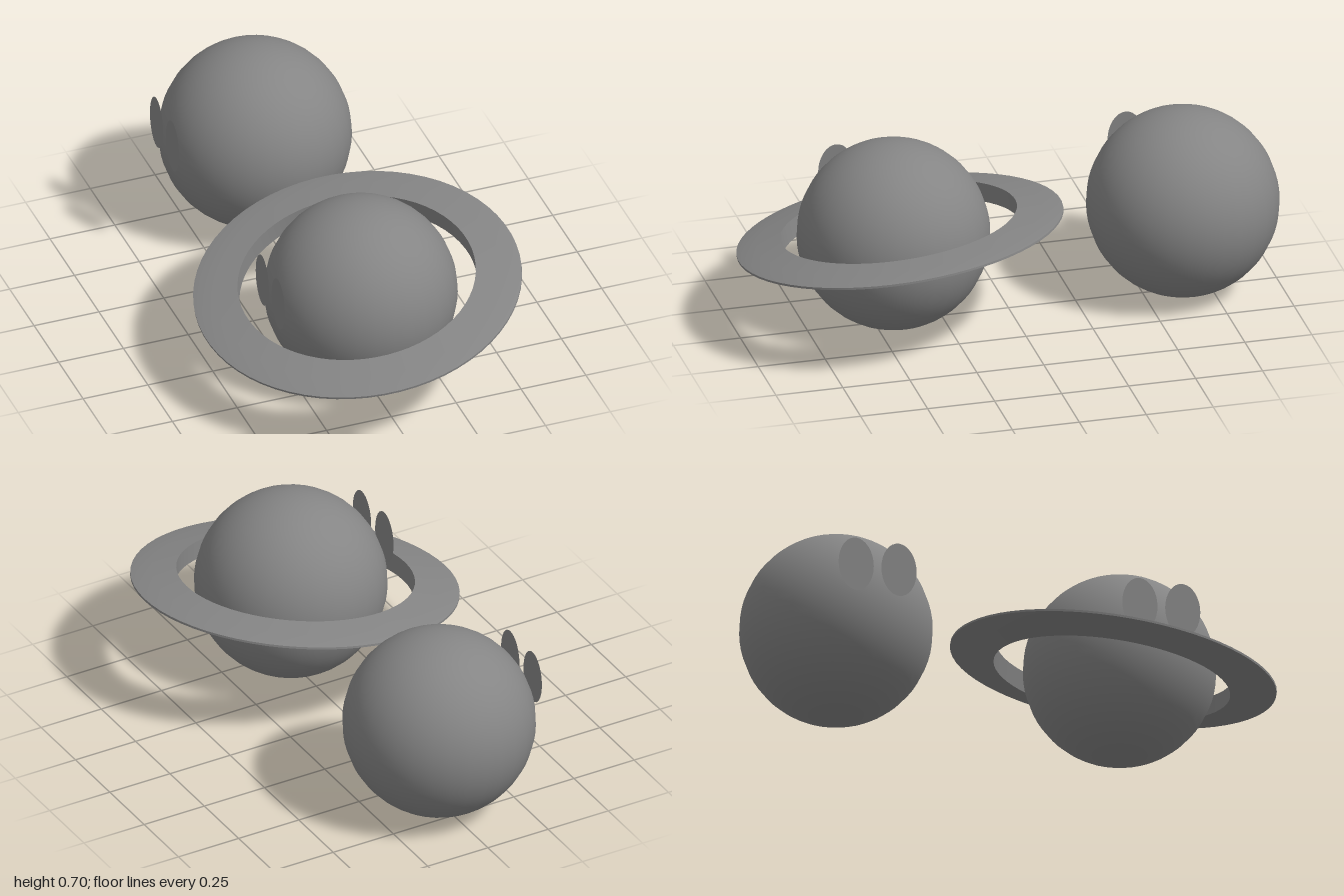
import * as THREE from 'three';
import { toCreasedNormals } from 'three/addons/utils/BufferGeometryUtils.js';

const RADIUS = 0.35;
const grey = new THREE.MeshStandardMaterial({ color: 0x858585 });
const greyThin = new THREE.MeshStandardMaterial({ color: 0x858585, side: THREE.DoubleSide });

function addMesh(parent, name, geometry, material) {
  const mesh = new THREE.Mesh(geometry, material);
  mesh.name = name;
  parent.add(mesh);
  return mesh;
}

// Flat oval facing -x, with half sizes along z and y
function addOval(parent, name, x, y, z, halfZ, halfY) {
  const geometry = new THREE.CircleGeometry(1, 32)
    .scale(halfZ, halfY, 1)
    .rotateY(-Math.PI / 2);
  addMesh(parent, name, geometry, greyThin).position.set(x, y, z);
}

// Sphere with a pair of flat oval eyes on its -x side
function createPlanet(name, z) {
  const planet = new THREE.Group();
  planet.name = name;
  planet.position.set(0.003, RADIUS, z);
  addMesh(planet, 'body', new THREE.SphereGeometry(RADIUS, 32, 32), grey);
  for (const [side, eyeZ] of [['left', -0.045], ['right', 0.118]]) {
    addOval(planet, side + 'Eye', -0.363, 0.1, eyeZ, 0.067, 0.104);
    addOval(planet, side + 'Pupil', -0.373, 0.1, eyeZ, 0.034, 0.052);
  }
  return planet;
}

// Ring with an upright inner wall, tapering to a thin rounded rim
function createRingGeometry() {
  const upper = [[0.596, 0.004], [0.575, 0.01], [0.52, 0.021], [0.432, 0.036]];
  const lower = upper.map(([r, y]) => [r, -y]).reverse();
  const profile = [...lower, ...upper, lower[0]].map(([r, y]) => new THREE.Vector2(r, y));
  return toCreasedNormals(new THREE.LatheGeometry(profile, 64), 0.9);
}

export function createModel() {
  const model = new THREE.Group();
  model.name = 'planets';
  model.add(createPlanet('ringedPlanet', 0.43), createPlanet('plainPlanet', -0.65));

  // Ring tilted towards the front and the right
  const ring = addMesh(model, 'ring', createRingGeometry(), grey);
  ring.position.set(0, 0.354, 0.405);
  ring.rotation.set(0.11, 0, 0.143);
  return model;
}
